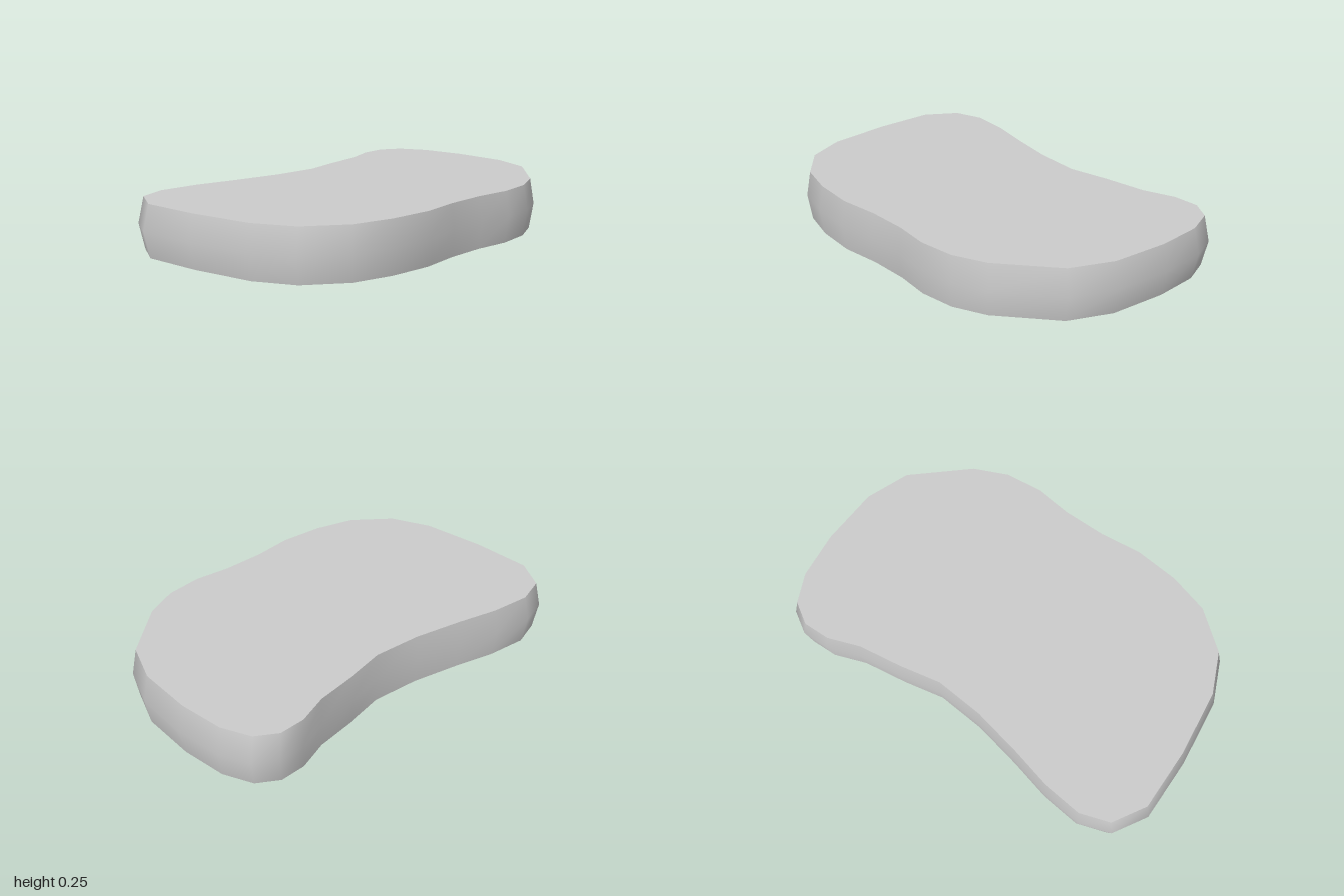
import * as THREE from 'three';

// Widest outline of the slab as [x, z], from the right rear corner round the back
const outline = [
  [-1, -0.42], [-0.905, -0.575], [-0.76, -0.622], [-0.56, -0.6], [-0.36, -0.55],
  [-0.12, -0.5], [0.12, -0.48], [0.32, -0.52], [0.535, -0.55], [0.69, -0.605],
  [0.82, -0.608], [0.92, -0.545], [0.98, -0.405], [1, -0.18], [0.98, 0.1],
  [0.895, 0.305], [0.64, 0.525], [0.48, 0.595], [0.3, 0.615], [0.12, 0.593],
  [-0.09, 0.593], [-0.29, 0.615], [-0.505, 0.595], [-0.7, 0.54], [-0.88, 0.395],
  [-0.965, 0.2], [-1, -0.12],
];
const HEIGHT = 0.245;
const EDGE = 0.975; // size of the top and bottom faces against the bulging middle

const material = new THREE.MeshStandardMaterial({ color: 0xcccccc });

function part(name, geometry) {
  const mesh = new THREE.Mesh(geometry, material);
  mesh.name = name;
  return mesh;
}

// Side wall: one smooth band through rings of [height, scale]
function wallGeometry(rings) {
  const n = outline.length;
  const positions = [];
  const index = [];
  for (const [y, s] of rings) {
    for (const [x, z] of outline) positions.push(x * s, y, z * s);
  }
  for (let r = 0; r < rings.length - 1; r++) {
    for (let i = 0; i < n; i++) {
      const a = r * n + i;
      const b = r * n + ((i + 1) % n);
      index.push(a, a + n, b, b, a + n, b + n);
    }
  }
  const geometry = new THREE.BufferGeometry();
  geometry.setAttribute('position', new THREE.Float32BufferAttribute(positions, 3));
  geometry.setIndex(index);
  geometry.computeVertexNormals();
  return geometry;
}

// Flat face: dir 1 looks up, -1 looks down
function capGeometry(dir, y) {
  const points = outline.map(([x, z]) => new THREE.Vector2(x * EDGE, -dir * z * EDGE));
  return new THREE.ShapeGeometry(new THREE.Shape(points))
    .rotateX(-dir * Math.PI / 2)
    .translate(0, y, 0);
}

export function createModel() {
  const model = new THREE.Group();
  model.name = 'slab';
  model.add(
    part('sideWall', wallGeometry([[0, EDGE], [HEIGHT / 2, 1], [HEIGHT, EDGE]])),
    part('topFace', capGeometry(1, HEIGHT)),
    part('bottomFace', capGeometry(-1, 0)),
  );
  return model;
}
